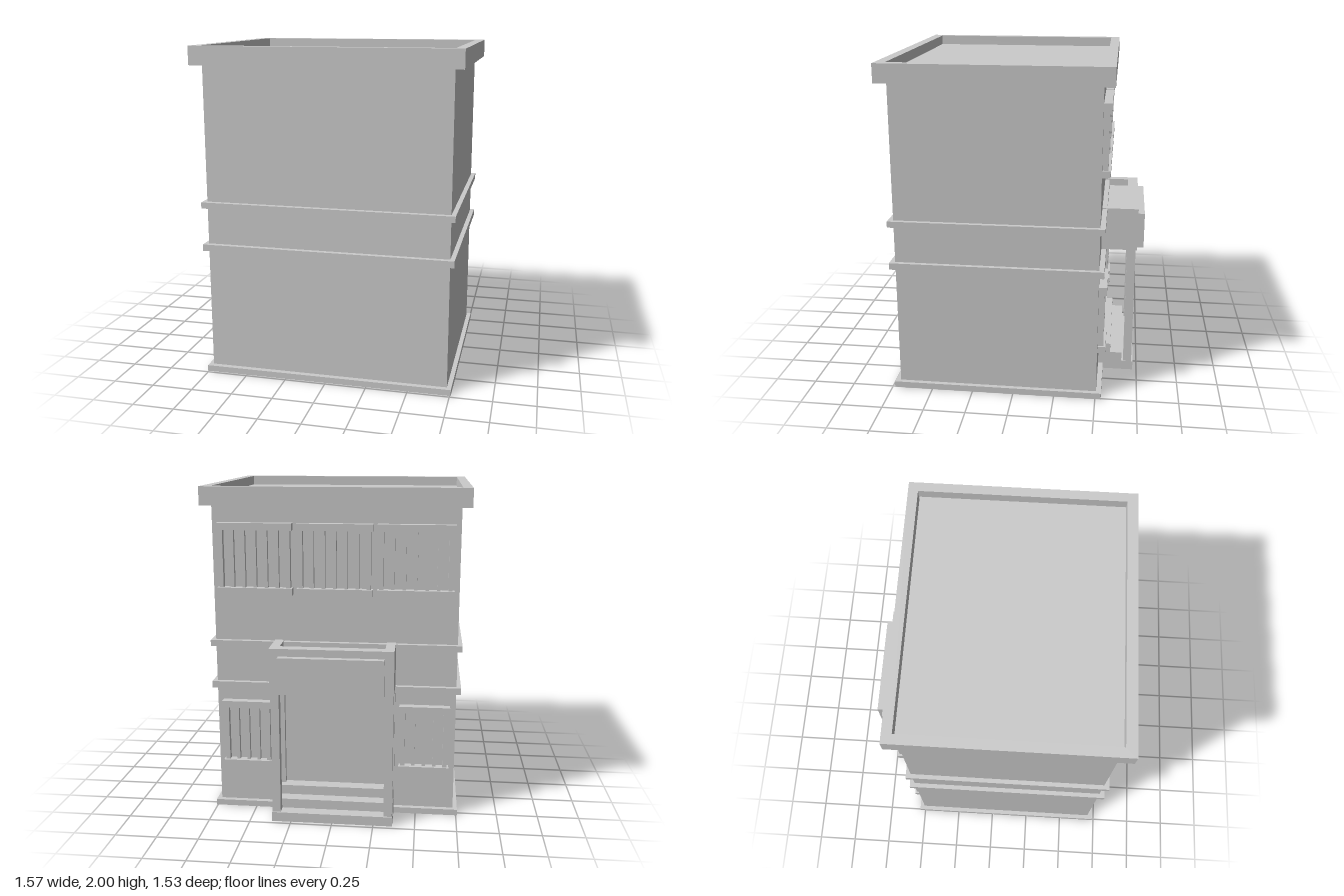
import * as THREE from 'three';

const material = new THREE.MeshStandardMaterial({ color: 0xcccccc, flatShading: true });
const WALL = -0.505; // z of the entrance wall

// Box given by its limits on each axis
function block(parent, name, x0, x1, y0, y1, z0, z1) {
  const mesh = new THREE.Mesh(new THREE.BoxGeometry(x1 - x0, y1 - y0, z1 - z0), material);
  mesh.position.set((x0 + x1) / 2, (y0 + y1) / 2, (z0 + z1) / 2);
  mesh.name = name;
  parent.add(mesh);
  return mesh;
}

// Window with projecting head and sill, side jambs and upright bars
function barredWindow(name, cx, width, y0, y1, gaps) {
  const g = new THREE.Group();
  g.name = name;
  const h = width / 2, edge = 0.042, jamb = 0.025;
  block(g, 'sill', -h, h, y0, y0 + edge, -0.553, WALL);
  block(g, 'head', -h, h, y1 - edge, y1, -0.553, WALL);
  const inner = h - 0.012;
  for (const s of [-1, 1]) {
    const x = s * (inner - jamb / 2);
    block(g, 'jamb', x - jamb / 2, x + jamb / 2, y0 + edge, y1 - edge, -0.54, WALL);
  }
  const span = 2 * inner - jamb;
  for (let i = 1; i < gaps; i++) {
    const x = -span / 2 + (span * i) / gaps;
    block(g, 'bar', x - 0.01, x + 0.01, y0 + edge, y1 - edge, -0.532, WALL);
  }
  g.position.x = cx;
  return g;
}

export function createModel() {
  const model = new THREE.Group();
  model.name = 'building';

  // Main volume, its top being the sunken roof
  block(model, 'walls', -0.73, 0.73, 0.0, 1.94, WALL, 0.703);

  // Plinth and string courses
  for (const [name, y0, y1] of [['plinth', 0, 0.037], ['lowerBand', 0.78, 0.82], ['upperBand', 1.043, 1.08]]) {
    block(model, name, -0.757, 0.757, y0, y1, -0.535, 0.735);
  }

  // Parapet ring around the roof
  const rect = (target, x, z0, z1) =>
    target.moveTo(-x, -z1).lineTo(x, -z1).lineTo(x, -z0).lineTo(-x, -z0).closePath();
  const ring = rect(new THREE.Shape(), 0.787, -0.568, 0.765);
  ring.holes.push(rect(new THREE.Path(), 0.73, -0.51, 0.703));
  const parapetGeometry = new THREE.ExtrudeGeometry(ring, { depth: 0.11, bevelEnabled: false });
  parapetGeometry.rotateX(-Math.PI / 2);
  const parapet = new THREE.Mesh(parapetGeometry, material);
  parapet.name = 'parapet';
  parapet.position.y = 1.89;
  model.add(parapet);

  // Windows
  for (const x of [-0.475, 0, 0.475]) {
    model.add(barredWindow('upperWindow', x, 0.45, 1.365, 1.79, 6));
  }
  for (const x of [-0.543, 0.543]) {
    model.add(barredWindow('lowerWindow', x, 0.305, 0.275, 0.7, 4));
  }

  // Porch: steps, canopy with raised rim, fascia panel
  const porch = new THREE.Group();
  porch.name = 'porch';
  model.add(porch);
  [-0.725, -0.653, -0.58].forEach((z, i) => {
    block(porch, 'step', -0.365, 0.365, i * 0.058, (i + 1) * 0.058, z, WALL);
  });
  block(porch, 'canopy', -0.365, 0.365, 0.82, 1.04, -0.725, WALL);
  block(porch, 'canopyFrontRim', -0.365, 0.365, 1.04, 1.085, -0.725, -0.66);
  block(porch, 'fasciaPanel', -0.31, 0.31, 0.82, 1.04, -0.765, -0.725);

  // Porch posts, canopy side rims and door jambs on both sides
  for (const s of [-1, 1]) {
    const c = s * 0.3375;
    block(porch, 'canopySideRim', c - 0.0275, c + 0.0275, 1.04, 1.085, -0.66, WALL);
    block(porch, 'post', c - 0.025, c + 0.025, 0.058, 0.82, -0.716, -0.664);
    block(porch, 'doorJamb', c - 0.0275, c + 0.0275, 0.174, 0.78, -0.535, WALL);
  }
  return model;
}
